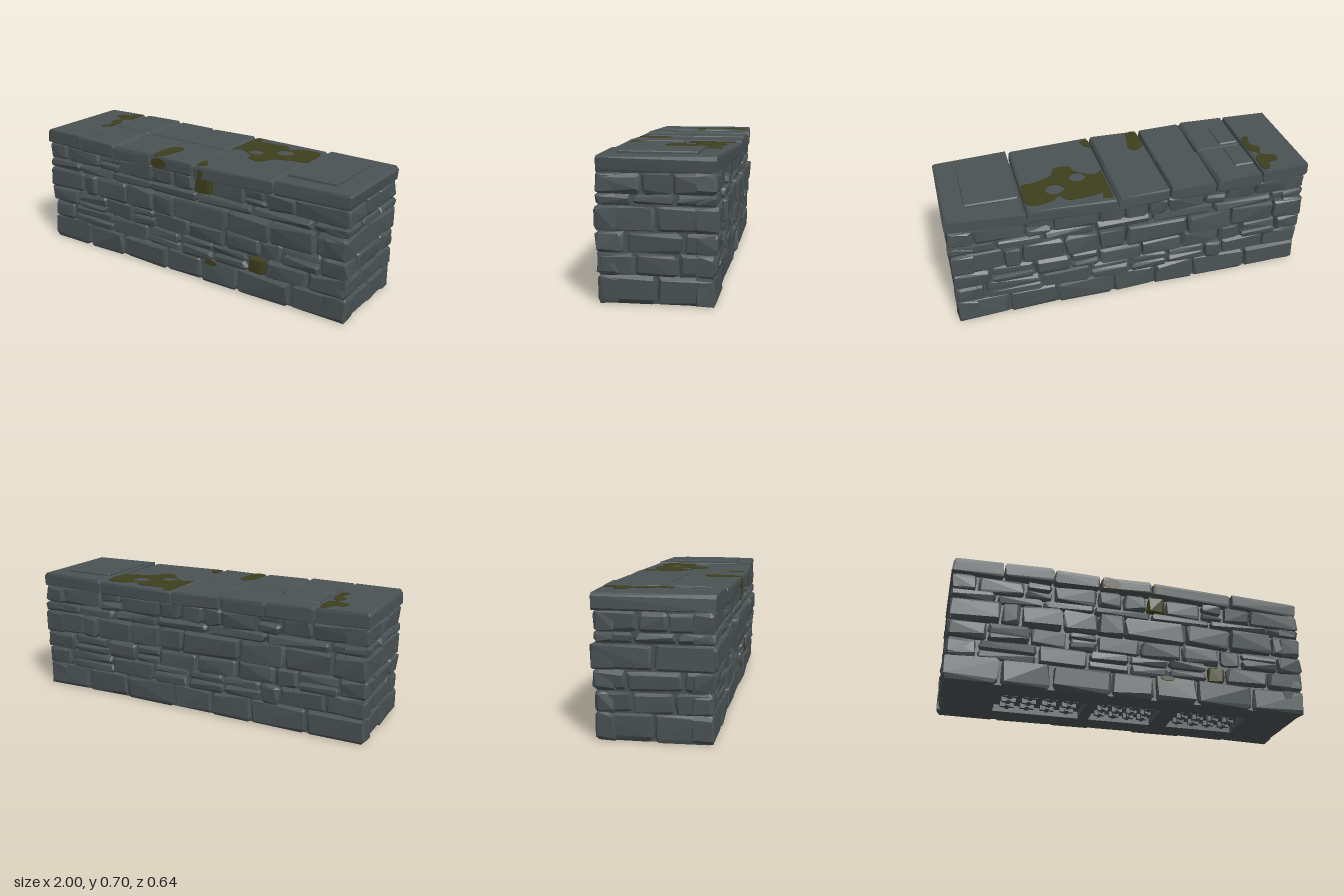
import * as THREE from 'three';
import { ConvexGeometry } from 'three/addons/geometries/ConvexGeometry.js';

// small seeded generator
let seed = 7;
const rand = () => {
  seed = (seed * 16807) % 2147483647;
  return seed / 2147483647;
};

const makeMat = (name, color) => {
  const m = new THREE.MeshStandardMaterial({ color });
  m.name = name;
  return m;
};

// Rough stone: hull of a box whose corners are cut by uneven chamfers
function stoneGeometry(min, max, chamfer, rough, flatTop, shape = (p) => p) {
  const size = min.map((v, i) => max[i] - v);
  const pts = [];
  for (let k = 0; k < 8; k++) {
    const high = [k & 1, k & 2, k & 4].map(Boolean);
    for (let axis = 0; axis < 3; axis++) {
      const p = high.map((h, i) => {
        const sign = h ? -1 : 1;
        const cut = Math.min(chamfer, size[i] * 0.3) * (0.5 + 0.9 * rand());
        const flat = flatTop && i === 1 && h;
        const wear = flat ? 0 : Math.min(rough, size[i] * 0.12) * rand();
        return (h ? max[i] : min[i]) + sign * (i === axis ? wear : cut);
      });
      if (min[1] === 0 && axis === 1 && !high[1]) p[1] = 0;
      pts.push(shape(new THREE.Vector3(...p)));
    }
  }
  return new ConvexGeometry(pts);
}

export function createModel() {
  seed = 7;
  const model = new THREE.Group();
  model.name = 'stoneWall';
  const stone = makeMat('slateStone', 0x4a5254);
  const moss = makeMat('oliveMoss', 0x3e3f1c);

  const add = (name, geometry, material = stone, parent = model) => {
    const mesh = new THREE.Mesh(geometry, material);
    mesh.name = name;
    parent.add(mesh);
    return mesh;
  };
  const box = (name, w, h, d, x, y, z) => add(name, new THREE.BoxGeometry(w, h, d).translate(x, y, z));

  // Core behind the facing stones
  box('core', 1.95, 0.59, 0.5, 0, 0.335, 0);

  // Base plate with three recessed sockets
  const sockets = [[-0.46, 0.48], [0.02, 0.36], [0.5, 0.4]];
  const rect = (T, x0, x1, y0, y1) => {
    const s = new T();
    s.moveTo(x0, y0).lineTo(x1, y0).lineTo(x1, y1).lineTo(x0, y1).closePath();
    return s;
  };
  const plate = rect(THREE.Shape, -0.97, 0.97, -0.25, 0.25);
  for (const [x, w] of sockets) plate.holes.push(rect(THREE.Path, x - w / 2, x + w / 2, -0.12, 0.12));
  add('basePlate', new THREE.ExtrudeGeometry(plate, { depth: 0.04, bevelEnabled: false })
    .rotateX(Math.PI / 2).translate(0, 0.04, 0));
  for (const [x, w] of sockets) {
    for (let i = 0; i < 4; i++) {
      for (let j = -1; j <= 1; j++) {
        const px = x + w * (i - 1.5) * 0.23;
        box('socketCross', w * 0.16, 0.03, 0.02, px, 0.027, j * 0.075);
        box('socketCross', 0.02, 0.03, 0.055, px, 0.027, j * 0.075);
      }
    }
  }

  // Courses: heights, half depth, joints along the front, joints across the ends.
  // stacks lists the front stones that are two thin slips; mossy lists the overgrown ones.
  const courses = [
    { y: [0, 0.14], d: 0.28, front: [-1, -0.71, -0.44, -0.12, 0.12, 0.36, 0.68, 1], ends: [0], stacks: [], mossy: [] },
    { y: [0.13, 0.24], d: 0.285, front: [-1, -0.83, -0.52, -0.25, -0.02, 0.2, 0.42, 0.53, 0.78, 1],
      ends: [-0.1, 0.1], stacks: [1, 3, 4, 5], mossy: [6] },
    { y: [0.235, 0.34], d: 0.29, front: [-1, -0.79, -0.56, -0.36, -0.2, 0.04, 0.28, 0.5, 0.63, 0.85, 1],
      ends: [-0.125, 0.14], stacks: [1, 3, 8], mossy: [] },
    { y: [0.335, 0.465], d: 0.3, front: [-1, -0.72, -0.62, -0.39, -0.2, -0.05, 0.3, 0.56, 0.82, 1],
      ends: [0], stacks: [], mossy: [] },
    { y: [0.46, 0.515], d: 0.29, front: [-1, -0.75, -0.5, -0.22, 0.1, 0.45, 0.8, 1],
      ends: [-0.09, 0.11], stacks: [], mossy: [] },
    { y: [0.51, 0.615], d: 0.29, front: [-1, -0.86, -0.6, -0.45, -0.2, -0.06, 0.08, 0.19, 0.4, 0.53, 0.7, 1],
      ends: [-0.07, 0.07], stacks: [2, 8], mossy: [6] },
  ];
  courses.forEach(({ y: [y0, y1], d, front, ends, stacks, mossy }, row) => {
    const course = new THREE.Group();
    course.name = 'course' + (row + 1);
    model.add(course);
    for (const side of [1, -1]) {
      // long faces; the back reverses the joints
      for (let i = 0; i < front.length - 1; i++) {
        const [a, b] = side > 0 ? [front[i], front[i + 1]] : [-front[i + 1], -front[i]];
        const mid = y0 + (y1 - y0) * (0.4 + 0.2 * rand());
        const layers = stacks.includes(i) ? [[y0, mid], [mid, y1]] : [[y0, y1]];
        for (const [lo, hi] of layers) {
          const out = d + 0.014 * (rand() - 0.5);
          const z = side > 0 ? [0.17, out] : [-out, -0.17];
          const mat = side > 0 && mossy.includes(i) ? moss : stone;
          add(side > 0 ? 'frontStone' : 'backStone',
            stoneGeometry([a, lo, z[0]], [b, hi, z[1]], 0.02, 0.014, false), mat, course);
        }
      }
      // short faces
      const zs = [-d + 0.004, ...ends, d - 0.004];
      for (let i = 0; i < zs.length - 1; i++) {
        const out = 1 - 0.008 * rand();
        const x = side > 0 ? [0.86, out] : [-out, -0.86];
        add(side > 0 ? 'leftEndStone' : 'rightEndStone',
          stoneGeometry([x[0], y0, zs[i]], [x[1], y1, zs[i + 1]], 0.02, 0.01, false), stone, course);
      }
    }
  });

  // Coping slabs: x range, half depth at each end, top height, split lengthwise
  const slabs = [
    [-1, -0.72, 0.29, 0.305, 0.692, false],
    [-0.72, -0.45, 0.31, 0.322, 0.69, true],
    [-0.45, -0.19, 0.318, 0.31, 0.686, true],
    [-0.19, 0.1, 0.31, 0.322, 0.683, true],
    [0.1, 0.58, 0.322, 0.298, 0.68, false],
    [0.58, 1, 0.302, 0.278, 0.687, false],
  ];
  for (const [x0, x1, d0, d1, top, split] of slabs) {
    const taper = (p) => {
      p.z *= d0 + (d1 - d0) * (p.x - x0) / (x1 - x0);
      return p;
    };
    for (const [z0, z1] of split ? [[-1, 0], [0, 1]] : [[-1, 1]]) {
      add('copingSlab', stoneGeometry([x0, 0.606, z0], [x1, top, z1], 0.015, 0.01, true, taper));
    }
  }
  // Thin raised flakes on the coping
  add('copingFlake', stoneGeometry([0.6, 0.67, -0.18], [0.88, 0.7, 0.2], 0.006, 0.002, true));
  add('copingFlake', stoneGeometry([-0.705, 0.67, -0.21], [-0.595, 0.697, -0.02], 0.006, 0.002, true));
  add('copingFlake', stoneGeometry([-0.705, 0.67, 0.02], [-0.595, 0.696, 0.2], 0.006, 0.002, true));

  // Moss patches lying on the coping, outlined in x and z
  const mossPatch = (outline, top, holes = []) => {
    const curve = new THREE.SplineCurve([...outline, outline[0]].map(([x, z]) => new THREE.Vector2(x, z)));
    const s = new THREE.Shape(curve.getPoints(outline.length * 4));
    for (const [x, z, r] of holes) s.holes.push(new THREE.Path().absellipse(x, z, r * 1.1, r, 0, Math.PI * 2));
    add('mossPatch', new THREE.ExtrudeGeometry(s, { depth: 0.006, bevelEnabled: false, curveSegments: 8 })
      .rotateX(Math.PI / 2).translate(0, top + 0.003, 0), moss);
  };
  mossPatch([[0.12, -0.03], [0.12, -0.15], [0.16, -0.23], [0.25, -0.25], [0.35, -0.25], [0.39, -0.2], [0.44, -0.24],
    [0.56, -0.24], [0.57, -0.07], [0.5, -0.05], [0.4, -0.01], [0.36, 0.06], [0.28, 0.05], [0.26, 0], [0.17, -0.06]],
  0.68, [[0.4, -0.14, 0.045], [0.26, -0.06, 0.04]]);
  mossPatch([[0.12, -0.29], [0.17, -0.28], [0.15, -0.2], [0.12, -0.15]], 0.68);
  mossPatch([[0.115, 0.21], [0.15, 0.24], [0.16, 0.29], [0.115, 0.295]], 0.68);
  mossPatch([[-0.175, 0.15], [-0.13, 0.11], [-0.09, 0.14], [-0.1, 0.22], [-0.12, 0.295], [-0.175, 0.295]], 0.683);
  mossPatch([[-0.84, -0.22], [-0.79, -0.23], [-0.77, -0.28], [-0.735, -0.28], [-0.735, -0.17], [-0.77, -0.13],
    [-0.735, -0.08], [-0.735, 0.04], [-0.78, 0.05], [-0.76, -0.02], [-0.8, -0.07], [-0.78, -0.14], [-0.85, -0.17]], 0.692);

  // Moss running over the front edge and a spot near the foot
  const mossSpot = (x, y, z, w, h) => add('mossSpot',
    new THREE.CylinderGeometry(0.5, 0.5, 0.008, 8).rotateX(Math.PI / 2).scale(w, h, 1).translate(x, y, z), moss);
  mossSpot(-0.13, 0.645, 0.311, 0.11, 0.06);
  mossSpot(0.14, 0.64, 0.316, 0.06, 0.05);
  mossSpot(0.19, 0.125, 0.279, 0.08, 0.03);

  return model;
}
